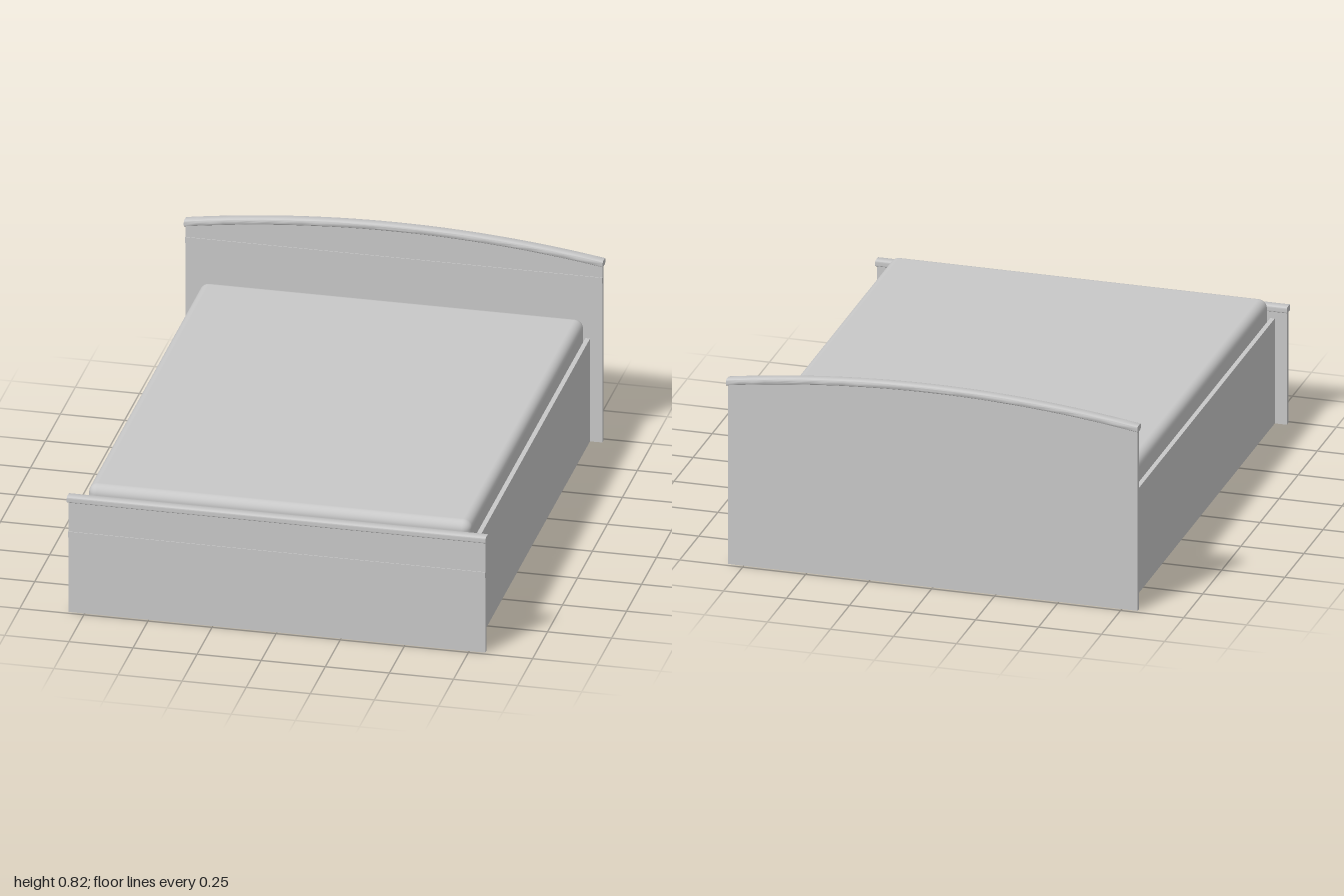
import * as THREE from 'three';
import { toCreasedNormals } from 'three/addons/utils/BufferGeometryUtils.js';
import { RoundedBoxGeometry } from 'three/addons/geometries/RoundedBoxGeometry.js';

const HALF = 0.813; // half width of the end panels
const arch = (x) => 0.065 * (1 - (x / 0.82) ** 2);

export function createModel() {
  const bed = new THREE.Group();
  bed.name = 'bed';
  const grey = new THREE.MeshStandardMaterial({ color: 0xc8c8c8 });
  grey.name = 'plain grey';

  const add = (name, geometry, x = 0, y = 0, z = 0) => {
    const mesh = new THREE.Mesh(geometry, grey);
    mesh.name = name;
    mesh.position.set(x, y, z);
    bed.add(mesh);
  };
  // Box given by its min and max on each axis
  const box = (name, x0, x1, y0, y1, z0, z1) =>
    add(name, new THREE.BoxGeometry(x1 - x0, y1 - y0, z1 - z0),
      (x0 + x1) / 2, (y0 + y1) / 2, (z0 + z1) / 2);

  // Rounded moulding running along x, optionally bent upwards in the middle
  const cap = (name, z, bottom, width, height, bend) => {
    const w = width / 2, h = height / 2, r = 0.008;
    const s = new THREE.Shape();
    s.moveTo(-w + r, -h);
    s.lineTo(w - r, -h);
    s.absarc(w - r, -h + r, r, -Math.PI / 2, 0);
    s.absarc(w - r, h - r, r, 0, Math.PI / 2);
    s.absarc(-w + r, h - r, r, Math.PI / 2, Math.PI);
    s.absarc(-w + r, -h + r, r, Math.PI, Math.PI * 1.5);
    const g = new THREE.ExtrudeGeometry(s, { depth: 1.634, steps: bend ? 32 : 1, bevelEnabled: false, curveSegments: 5 });
    g.translate(0, 0, -0.817).rotateY(Math.PI / 2);
    const p = g.attributes.position;
    if (bend) for (let i = 0; i < p.count; i++) p.setY(i, p.getY(i) + arch(p.getX(i)));
    add(name, toCreasedNormals(g, 0.7), 0, bottom + h, z);
  };

  // Headboard: arched panel, slim trim strip and bent cap
  const panel = new THREE.Shape();
  panel.moveTo(-HALF, 0);
  panel.lineTo(HALF, 0);
  for (let i = 0; i <= 32; i++) {
    const x = HALF * (1 - i / 16);
    panel.lineTo(x, 0.742 + arch(x));
  }
  add('headboardPanel', new THREE.ExtrudeGeometry(panel, { depth: 0.018, bevelEnabled: false }), 0, 0, -0.985);
  box('headboardTrim', -HALF, HALF, 0.665, 0.69, -0.97, -0.964);
  cap('headboardCap', -0.978, 0.735, 0.044, 0.025, true);

  // Footboard: panel, slim trim strip and straight cap
  box('footboardPanel', -HALF, HALF, 0, 0.465, 0.969, 0.988);
  box('footboardTrim', -HALF, HALF, 0.313, 0.337, 0.985, 0.991);
  cap('footboardCap', 0.978, 0.46, 0.044, 0.025, false);

  // Side rails, and the foot dividers beneath the mattress
  for (const side of [1, -1]) {
    const prefix = side > 0 ? 'left' : 'right';
    add(prefix + 'Rail', new THREE.BoxGeometry(0.018, 0.43, 1.936), side * 0.756, 0.215, 0.001);
    add(prefix + 'FootDivider', new THREE.BoxGeometry(0.016, 0.4, 1.08), side * 0.4, 0.2, 0.429);
  }
  // Cross divider and central head divider
  box('crossDivider', -0.747, 0.747, 0, 0.4, -0.127, -0.111);
  box('headDivider', -0.008, 0.008, 0, 0.4, -0.967, -0.127);

  // Mattress, sunk between the rails
  add('mattress', new RoundedBoxGeometry(1.494, 0.14, 1.914, 5, 0.035), 0, 0.45, -0.002);
  return bed;
}
